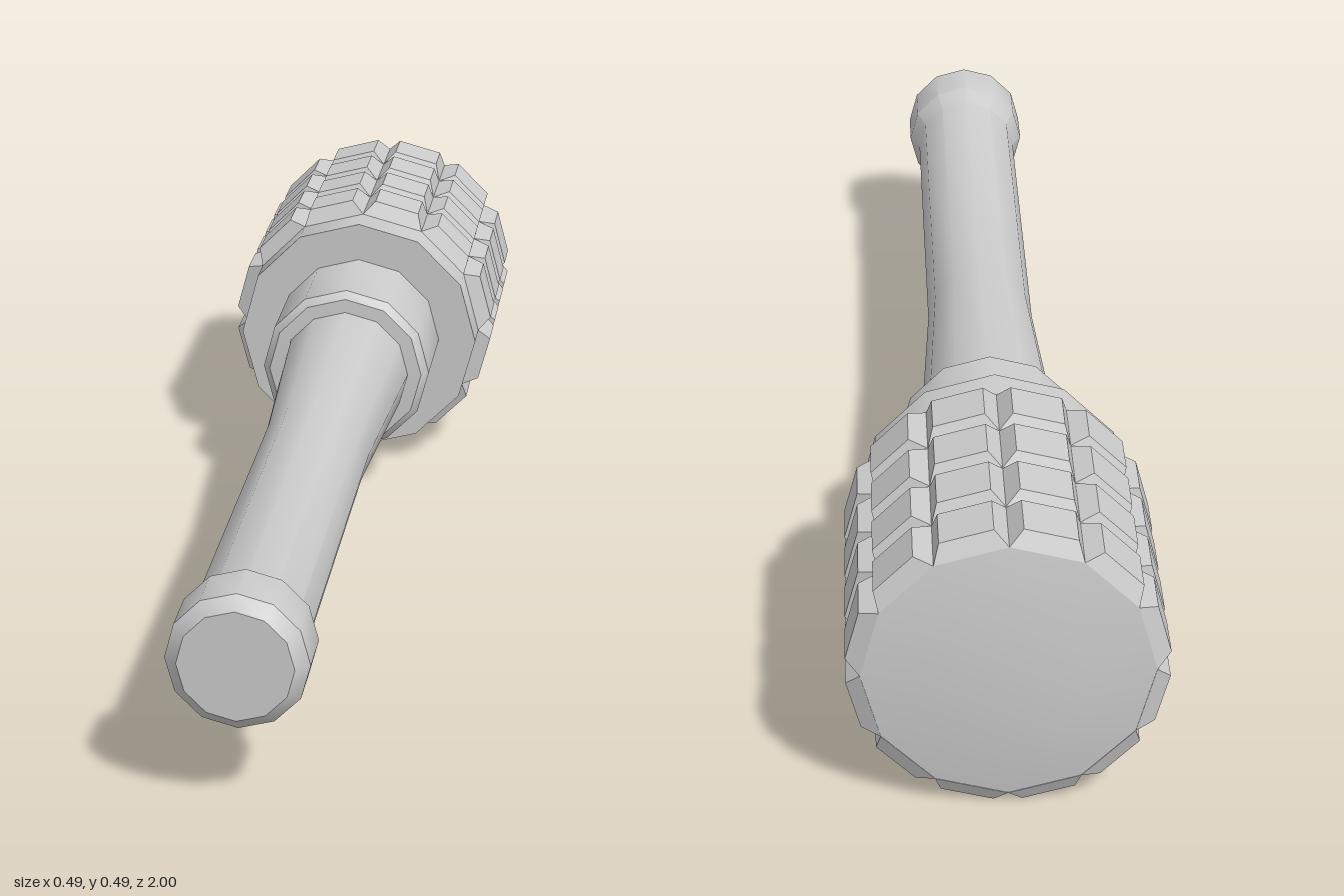
import * as THREE from 'three';
import { toCreasedNormals } from 'three/addons/utils/BufferGeometryUtils.js';

const SIDES = 12;
const AXIS_Y = 0.248; // height of the long axis
const CORE_R = 0.225; // radius of the head under the studs
const PAD_R = 0.248; // radius at the outer stud corners

const grey = new THREE.MeshStandardMaterial({ color: 0xcccccc });
const greyFlat = new THREE.MeshStandardMaterial({ color: 0xcccccc, flatShading: true });

// Turned part along z; profile is [radius, z] from back to front
function turned(name, profile) {
  const points = profile.map(([r, z]) => new THREE.Vector2(r, z));
  const geometry = new THREE.LatheGeometry(points, SIDES).rotateX(Math.PI / 2);
  geometry.deleteAttribute('normal');
  const mesh = new THREE.Mesh(toCreasedNormals(geometry, 0.6), grey);
  mesh.name = name;
  return mesh;
}

// Stud: a box tapered towards its outer face, its base covering one facet
function studGeometry(pitch) {
  const half = Math.PI / SIDES;
  const topAngle = THREE.MathUtils.degToRad(9.85);
  const geometry = new THREE.BoxGeometry(2, 2, 2);
  const p = geometry.attributes.position;
  for (let i = 0; i < p.count; i++) {
    const top = p.getY(i) > 0;
    const r = top ? PAD_R : CORE_R;
    const a = top ? topAngle : half;
    p.setXYZ(
      i,
      p.getX(i) * r * Math.sin(a),
      r * Math.cos(a),
      p.getZ(i) * (pitch / 2 - (top ? 0.016 : 0.001))
    );
  }
  geometry.computeVertexNormals();
  return geometry;
}

export function createModel() {
  const model = new THREE.Group();
  model.name = 'studdedMallet';
  const body = new THREE.Group();
  body.name = 'body';
  body.position.y = AXIS_Y;
  model.add(body);

  // Handle with a flared end knob
  body.add(turned('handle', [
    [0.118, -0.3], [0.117, -0.27], [0.094, 0.13], [0.094, 0.855],
    [0.111, 0.89], [0.111, 0.98], [0.09, 1], [0, 1],
  ]));

  // Neck between handle and head
  body.add(turned('neck', [[0.155, -0.48], [0.155, -0.29], [0.142, -0.276], [0.112, -0.274]]));

  // Head core with collar and slightly domed back
  body.add(turned('headCore', [
    [0, -1], [0.13, -1], [CORE_R, -0.986], [CORE_R, -0.473], [0.1, -0.473],
  ]));

  // Four rings of studs around the head
  const studs = new THREE.Group();
  studs.name = 'studs';
  const pitch = 0.1125;
  const stud = studGeometry(pitch);
  for (let row = 0; row < 4; row++) {
    for (let i = 0; i < SIDES; i++) {
      const mesh = new THREE.Mesh(stud, greyFlat);
      mesh.name = 'stud';
      mesh.position.z = -0.988 + pitch * (row + 0.5);
      mesh.rotation.z = ((i + 0.5) / SIDES) * Math.PI * 2;
      studs.add(mesh);
    }
  }
  body.add(studs);

  return model;
}
